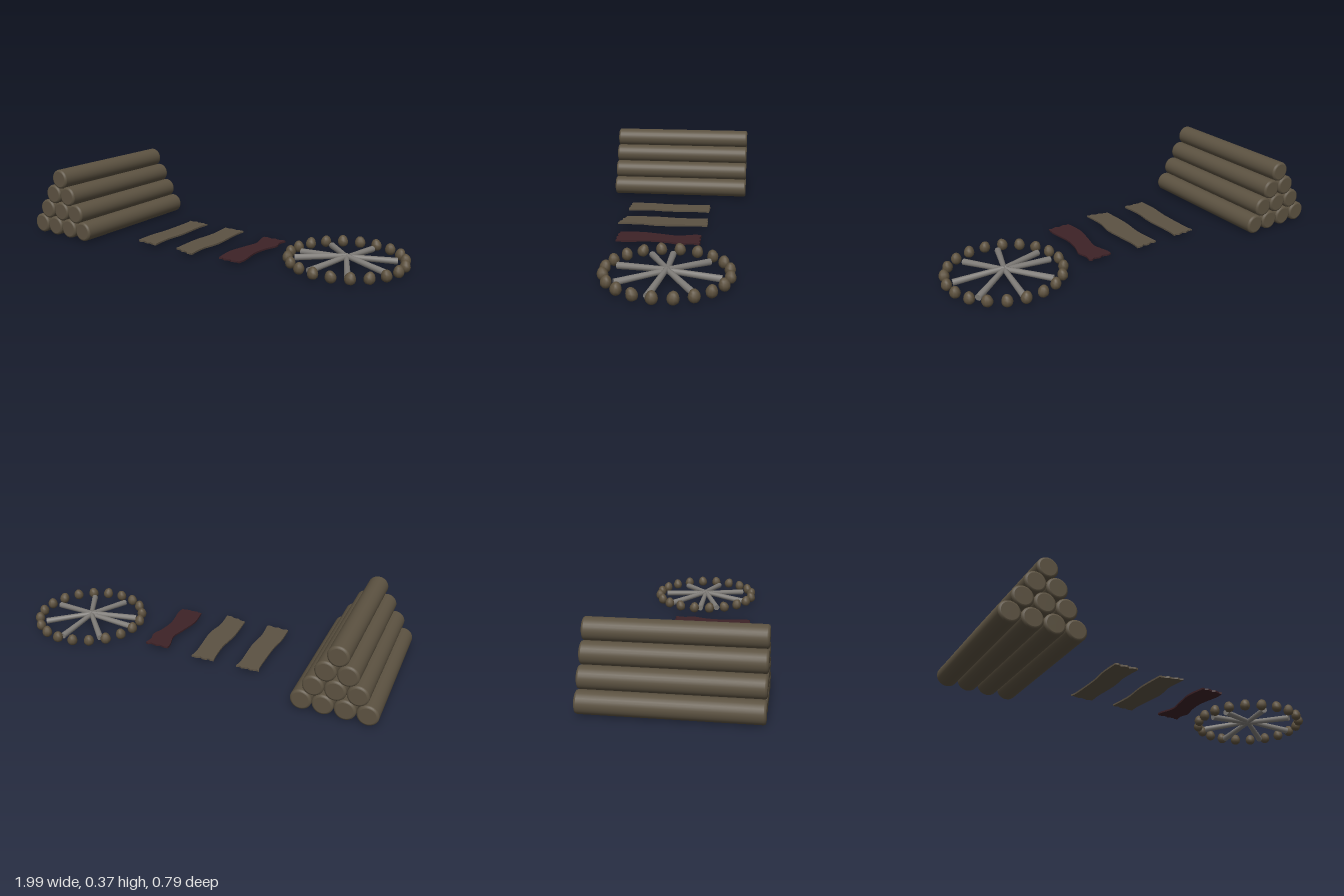
import * as THREE from 'three';

const mat = (name, color, side = THREE.FrontSide) => {
  const m = new THREE.MeshStandardMaterial({ color, side });
  m.name = name;
  return m;
};

export function createModel() {
  const root = new THREE.Group();
  root.name = 'campSupplies';
  const bark = mat('bark brown', 0x5c5241);
  const hideTan = mat('hide tan', 0x5c5243);
  const hideRed = mat('hide dark red', 0x3d2227);
  const ash = mat('ash grey', 0x7f7c78);
  const stone = mat('stone brown', 0x5c503d);

  const group = (name) => {
    const g = new THREE.Group();
    g.name = name;
    root.add(g);
    return g;
  };
  const add = (parent, name, geo, material) => {
    const m = new THREE.Mesh(geo, material);
    m.name = name;
    parent.add(m);
    return m;
  };
  const lathe = (pts, n) => new THREE.LatheGeometry(pts.map(([x, y]) => new THREE.Vector2(x, y)), n);

  // Log pile: four stacked rows of logs with softened ends
  const pile = group('logPile');
  const R = 0.0515, L = 0.394, B = 0.01;
  const half = [[0, L], [R - B - 0.001, L], [R - B, L], [R - B * 0.3, L - B * 0.3], [R, L - B], [R, L - B - 0.001]];
  const logGeo = lathe([...half.map(([r, y]) => [r, -y]), ...half.slice().reverse()], 28).rotateX(Math.PI / 2);
  for (let row = 0; row < 4; row++) {
    for (let i = 0; i < 4 - row; i++) {
      const log = add(pile, 'log', logGeo, bark);
      log.position.set(-0.793 + (i - (3 - row) / 2) * 0.1035, R + 0.001 + row * 0.0888, 0);
    }
  }

  // Hides: flat strips with wavy sides and ragged ends
  const hides = group('hides');
  const hide = (name, left, right, material, seed) => {
    const spline = (pts) => new THREE.SplineCurve(pts.map(([x, z]) => new THREE.Vector2(x, z))).getPoints(24);
    const l = spline(left), r = spline(right);
    const ragged = (a, b) => [1, 2, 3, 4, 5, 6, 7].map((k) => {
      const p = a.clone().lerp(b, k / 8);
      p.y += 0.005 * Math.sin(k * 2.1 + seed);
      return p;
    });
    const outline = [...l, ...ragged(l[24], r[24]), ...r.slice().reverse(), ...ragged(r[0], l[0])];
    const geo = new THREE.ExtrudeGeometry(new THREE.Shape(outline), { depth: 0.009, bevelEnabled: false });
    add(hides, name, geo.rotateX(Math.PI / 2), material).position.y = 0.024;
  };
  hide('outerHide',
    [[-0.363, -0.195], [-0.355, -0.15], [-0.355, 0.03], [-0.366, 0.14], [-0.364, 0.25]],
    [[-0.242, -0.195], [-0.248, -0.13], [-0.242, 0.03], [-0.252, 0.14], [-0.243, 0.256]], hideTan, 0);
  hide('middleHide',
    [[-0.118, -0.195], [-0.11, -0.12], [-0.108, -0.04], [-0.12, 0.09], [-0.114, 0.245]],
    [[0.002, -0.198], [-0.002, -0.13], [0.012, 0.05], [-0.004, 0.16], [0.004, 0.275]], hideTan, 1.5);
  hide('redHide',
    [[0.152, -0.175], [0.153, -0.14], [0.174, -0.06], [0.158, 0.02], [0.137, 0.13], [0.148, 0.24]],
    [[0.28, -0.175], [0.272, -0.13], [0.284, -0.08], [0.263, -0.01], [0.254, 0.08], [0.27, 0.19], [0.266, 0.242]], hideRed, 3);

  // Fire ring: twenty egg-shaped stones
  const ring = group('fireRing');
  ring.position.set(0.686, 0, -0.061);
  const stoneGeo = lathe([[0, -0.029], [0.015, -0.027], [0.024, -0.018], [0.0275, -0.005],
    [0.025, 0.008], [0.018, 0.021], [0.009, 0.028], [0, 0.03]], 10);
  for (let i = 0; i < 20; i++) {
    const a = (6.6 + i * 18) * Math.PI / 180;
    const s = add(ring, 'stone', stoneGeo, stone);
    s.position.set(Math.sin(a) * 0.281, 0.04, -Math.cos(a) * 0.281);
    s.rotation.set(0.2 * Math.sin(i * 2.3), -a, 0.2 * Math.cos(i * 1.7));
    s.scale.set(1, 1, 0.94);
  }

  // Burnt sticks: leaning together at the hub, outer ends on the ground
  const up = new THREE.Vector3(0, 1, 0);
  [[0.027, -0.243], [0.203, -0.139], [0.24, 0.056], [0.112, 0.216],
    [-0.08, 0.232], [-0.23, 0.093], [-0.246, -0.003], [-0.166, -0.179]].forEach(([x, z], i) => {
    const outer = new THREE.Vector3(x, 0.026, z);
    const inner = new THREE.Vector3(x * -0.03, 0.045 + (i % 3) * 0.004, z * -0.03);
    const dir = outer.clone().sub(inner);
    const s = add(ring, 'stick', new THREE.CylinderGeometry(0.0165, 0.0125, dir.length(), 10), ash);
    s.position.copy(outer).add(inner).multiplyScalar(0.5);
    s.quaternion.setFromUnitVectors(up, dir.normalize());
  });

  return root;
}
